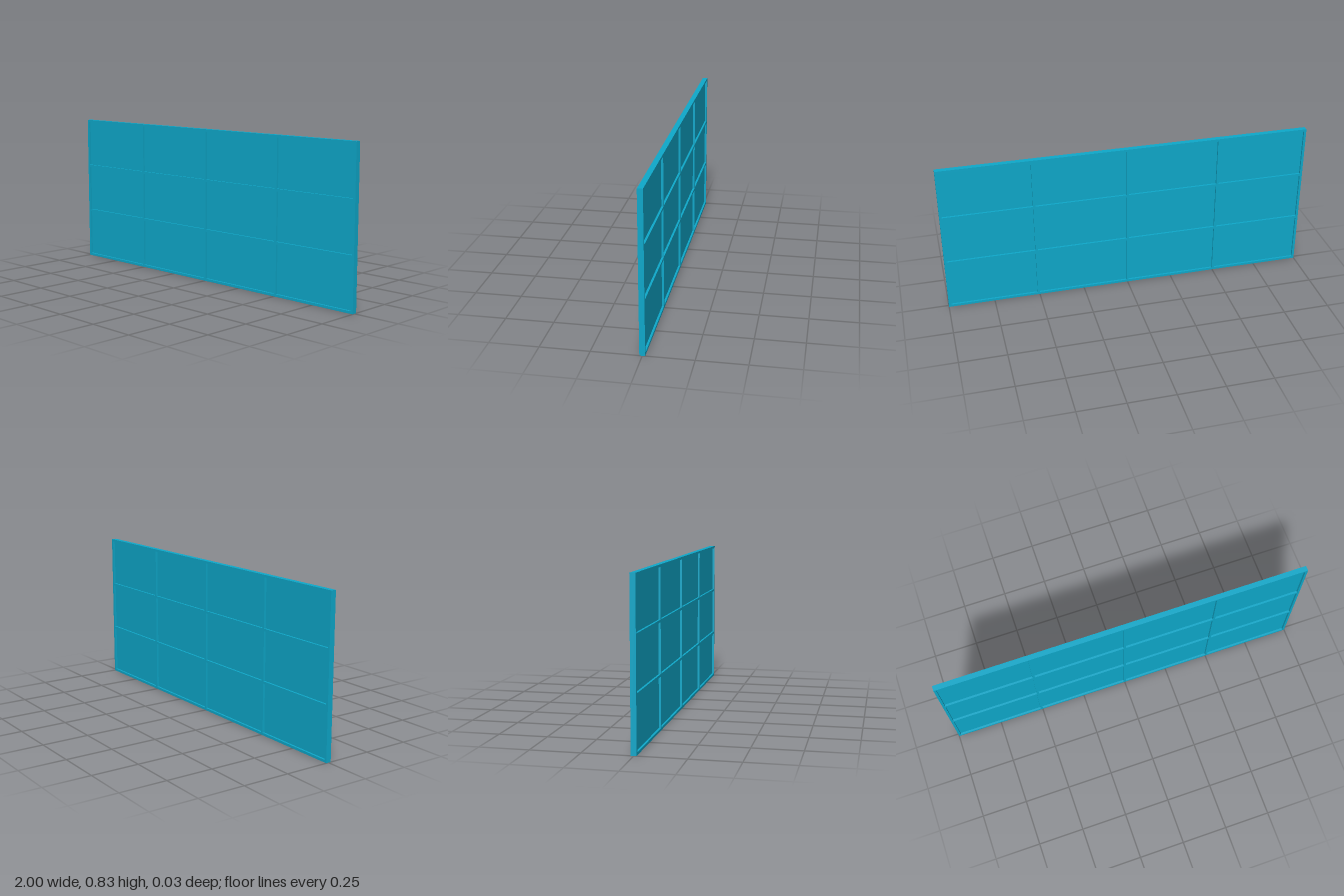
import * as THREE from 'three';

const W = 2, H = 0.833, D = 0.028; // overall size
const BAR = 0.013;                 // face width of frame and dividers
const PANEL = 0.006;               // thickness of the recessed sheet

export function createModel() {
  const model = new THREE.Group();
  model.name = 'griddedPanel';
  const material = new THREE.MeshStandardMaterial({ color: 0x0ea8ca });

  // Opening edges on each axis: outer frame, then one gap per divider
  const edges = (min, max, centres) =>
    [min + BAR, ...centres.flatMap(c => [c - BAR / 2, c + BAR / 2]), max - BAR];
  const xs = edges(-W / 2, W / 2, [-0.505, 0, 0.505]);
  const ys = edges(0, H, [0.281, 0.554]);

  const rect = (Type, x0, y0, x1, y1) => {
    const path = new Type();
    path.moveTo(x0, y0);
    path.lineTo(x1, y0);
    path.lineTo(x1, y1);
    path.lineTo(x0, y1);
    path.closePath();
    return path;
  };

  // Frame and dividers in one piece, with a hole for every pane
  const outline = rect(THREE.Shape, -W / 2, 0, W / 2, H);
  for (let i = 0; i < xs.length; i += 2) {
    for (let j = 0; j < ys.length; j += 2) {
      outline.holes.push(rect(THREE.Path, xs[i], ys[j], xs[i + 1], ys[j + 1]));
    }
  }
  const frameGeometry = new THREE.ExtrudeGeometry(outline, { depth: D, bevelEnabled: false });
  frameGeometry.translate(0, 0, -D / 2);
  const frame = new THREE.Mesh(frameGeometry, material);
  frame.name = 'frame';
  model.add(frame);

  // Recessed sheets filling the openings
  const panes = new THREE.Group();
  panes.name = 'panes';
  for (let i = 0; i < xs.length; i += 2) {
    for (let j = 0; j < ys.length; j += 2) {
      const pane = new THREE.Mesh(
        new THREE.BoxGeometry(xs[i + 1] - xs[i], ys[j + 1] - ys[j], PANEL), material);
      pane.position.set((xs[i] + xs[i + 1]) / 2, (ys[j] + ys[j + 1]) / 2, 0);
      pane.name = 'pane';
      panes.add(pane);
    }
  }
  model.add(panes);
  return model;
}
